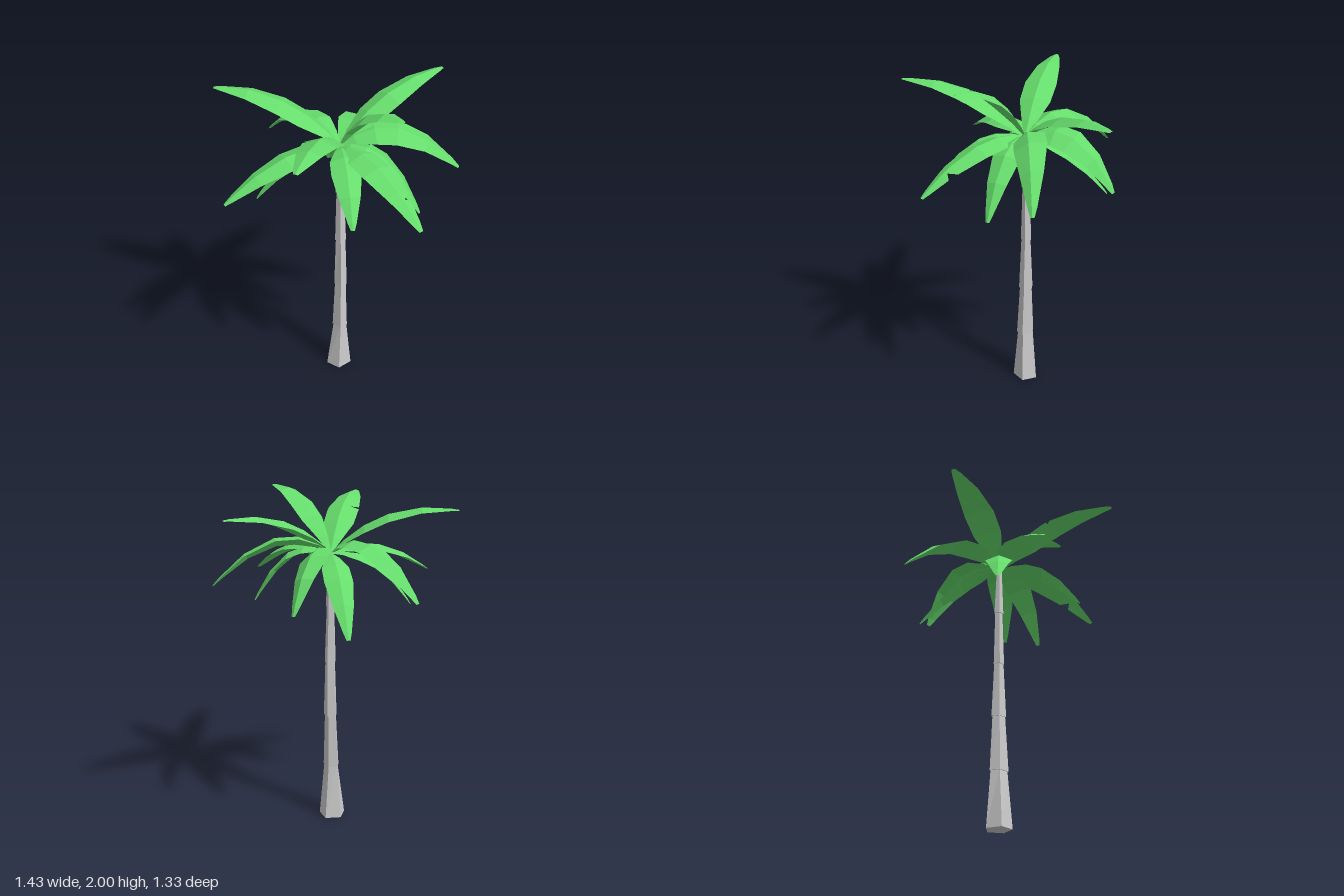
import * as THREE from 'three';

const bark = new THREE.MeshStandardMaterial({ color: 0xcccccc, flatShading: true });
const green = new THREE.MeshStandardMaterial({ color: 0x66dd6c, flatShading: true, side: THREE.DoubleSide });

function meshFrom(points, index, material, name) {
  const g = new THREE.BufferGeometry().setFromPoints(points);
  g.setIndex(index);
  const flat = g.toNonIndexed();
  flat.computeVertexNormals();
  const m = new THREE.Mesh(flat, material);
  m.name = name;
  return m;
}

// Five-sided ring that fills the given x and z extents at height y
function ring([y, x0, x1, z0, z1]) {
  const lo = Math.cos(Math.PI * 1.05), hi = Math.cos(Math.PI * 0.15);
  const fit = (v, a, b) => a + ((v - lo) / (hi - lo)) * (b - a);
  return Array.from({ length: 5 }, (_, i) => {
    const a = Math.PI / 4 + (i * Math.PI * 2) / 5;
    return new THREE.Vector3(fit(Math.cos(a), x0, x1), y, fit(Math.sin(a), z0, z1));
  });
}

function trunkSegment(bottom, top, name) {
  const index = [];
  for (let i = 0; i < 5; i++) {
    const j = (i + 1) % 5;
    index.push(i, i + 5, j, j, i + 5, j + 5);
  }
  for (let i = 1; i < 4; i++) index.push(0, i, i + 1, 5, 6 + i, 5 + i);
  return meshFrom([...ring(bottom), ...ring(top)], index, bark, name);
}

// Half width of a frond along its length: [t, width]
const outline = [
  [0, 0.008], [0.12, 0.045], [0.3, 0.09], [0.5, 0.094],
  [0.75, 0.067], [0.95, 0.027], [1, 0.012],
];

// Arching frond folded along its midrib, with an optional roll and a tear in one edge
function frond({ x, z, y, lift, reach, scale = 1, roll = 0, tear }) {
  const base = new THREE.Vector3(-0.012, 1.65, -0.018);
  const tip = new THREE.Vector3(x, y, z);
  const mid = base.clone().lerp(tip, reach).setY(lift);
  const curve = new THREE.QuadraticBezierCurve3(base, mid, tip);
  const level = new THREE.Vector3(-(z - base.z), 0, x - base.x).normalize();

  const widthAt = (t) => {
    const k = Math.max(1, outline.findIndex((o) => o[0] >= t));
    const [t0, w0] = outline[k - 1], [t1, w1] = outline[k];
    return w0 + ((w1 - w0) * (t - t0)) / (t1 - t0);
  };
  const stations = outline.map(([t, w]) => [t, w, w]);
  if (tear) {
    [-0.05, 0, 0.03].forEach((d) => {
      const t = tear.t + d, w = widthAt(t), cut = d === 0 ? w * tear.keep : w;
      stations.push(tear.side > 0 ? [t, w, cut] : [t, cut, w]);
    });
    stations.sort((a, b) => a[0] - b[0]);
  }

  const points = [], index = [];
  stations.forEach(([t, wl, wr], k) => {
    const p = curve.getPoint(t);
    const tangent = curve.getTangent(t);
    const side = level.clone().applyAxisAngle(tangent, roll);
    const up = new THREE.Vector3().crossVectors(side, tangent).normalize();
    const edge = (w, s) => p.clone().addScaledVector(side, s * w * scale).addScaledVector(up, -0.36 * w * scale);
    points.push(edge(wl, -1), p, edge(wr, 1));
    if (!k) return;
    const a = (k - 1) * 3, b = k * 3;
    for (let i = 0; i < 2; i++) index.push(a + i, a + i + 1, b + i, b + i, a + i + 1, b + i + 1);
  });
  return meshFrom(points, index, green, 'frond');
}

export function createModel() {
  const model = new THREE.Group();
  model.name = 'palmTree';

  // Trunk: tapering segments, each flaring out over the top of the one below
  const trunk = new THREE.Group();
  trunk.name = 'trunk';
  const segments = [
    [[0, -0.10, 0.053, -0.106, 0.041], [0.345, -0.052, 0.02, -0.076, 0.02]],
    [[0.333, -0.06, 0.024, -0.083, 0.026], [0.675, -0.042, 0.02, -0.064, 0.01]],
    [[0.663, -0.047, 0.026, -0.071, 0.016], [1.01, -0.036, 0.02, -0.053, 0.002]],
    [[0.998, -0.041, 0.024, -0.057, 0.005], [1.35, -0.03, 0.012, -0.048, -0.004]],
    [[1.338, -0.037, 0.017, -0.054, 0.001], [1.655, -0.026, 0.004, -0.038, -0.008]],
  ];
  segments.forEach(([b, t], i) => trunk.add(trunkSegment(b, t, `trunkSegment${i + 1}`)));
  model.add(trunk);

  // Crown: rising, spreading and drooping tiers, each listed by frond tip
  const tier = (name, common, tips) => {
    const g = new THREE.Group();
    g.name = name;
    tips.forEach(([x, z, y, lift, extra]) => g.add(frond({ x, z, y, lift, ...common, ...extra })));
    model.add(g);
  };
  tier('risingFronds', { reach: 0.41 }, [
    [0.71, -0.11, 1.91, 1.95],
    [-0.53, -0.515, 1.915, 1.98],
    [-0.54, 0.495, 1.915, 1.98, { tear: { t: 0.5, side: 1, keep: 0.5 } }],
    [0.09, 0.455, 1.995, 2.04, { scale: 0.9 }],
  ]);
  tier('spreadingFronds', { reach: 0.45 }, [
    [0.6, 0.27, 1.48, 1.92, { roll: 0.35 }],
    [-0.145, -0.665, 1.47, 1.92],
    [-0.715, -0.03, 1.48, 1.77],
    [0.09, 0.665, 1.46, 1.78, { tear: { t: 0.79, side: -1, keep: 0.3 } }],
  ]);
  tier('droopingFronds', { reach: 0.58, scale: 0.87 }, [
    [0.28, 0.37, 1.33, 1.78],
    [0.43, -0.335, 1.41, 1.85, { scale: 1, roll: 0.35 }],
    [0.165, -0.47, 1.27, 1.65, { reach: 0.5 }],
    [-0.45, -0.21, 1.33, 1.7],
    [-0.19, 0.44, 1.42, 1.75],
  ]);
  return model;
}
